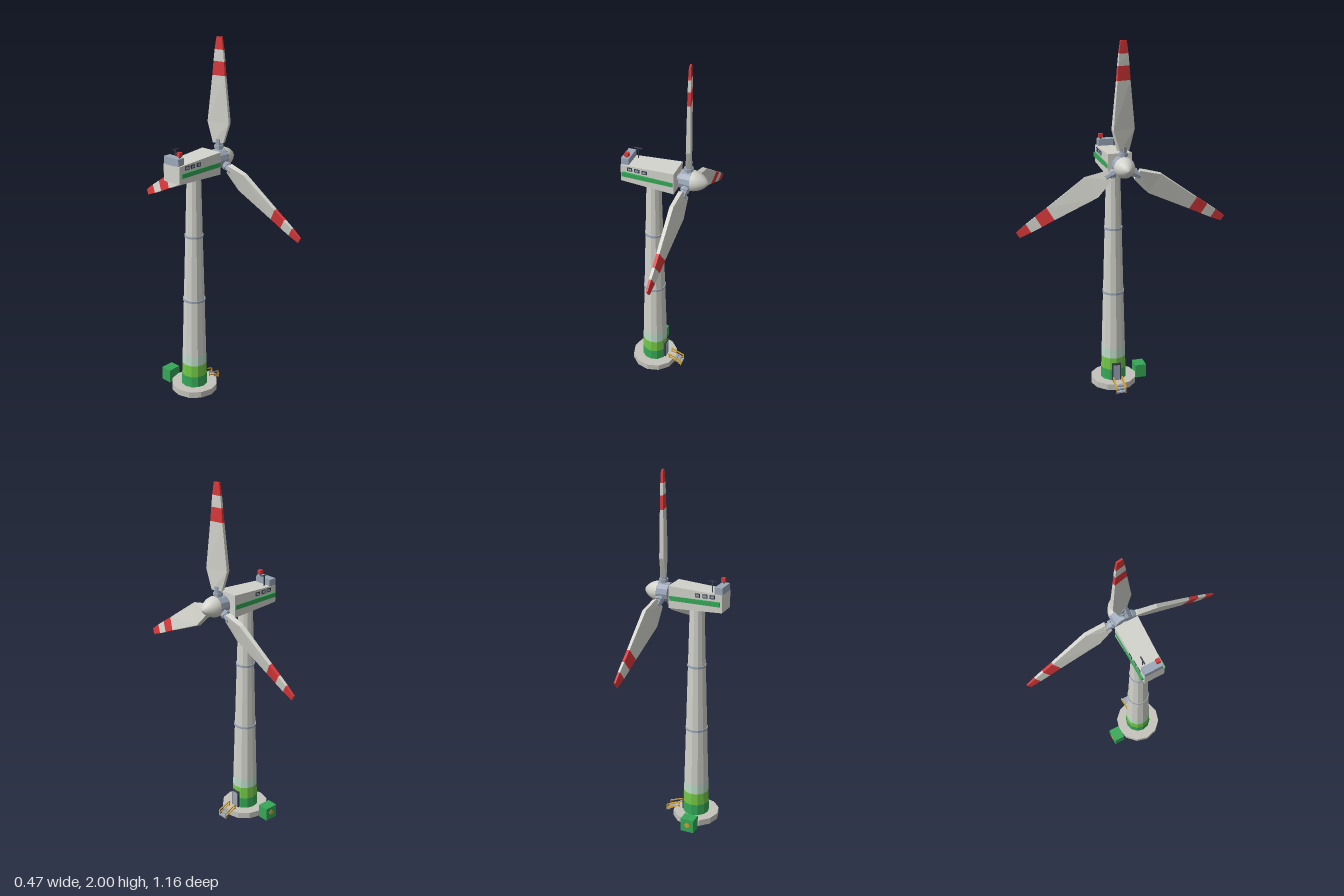
import * as THREE from 'three';

const mat = (name, color, extra = {}) => {
  const m = new THREE.MeshStandardMaterial({ color, ...extra });
  m.name = name;
  return m;
};

export function createModel() {
  const flat = { flatShading: true };
  const body = mat('body grey', 0xd3d3cc, flat);
  const smoothBody = body.clone();
  smoothBody.flatShading = false;
  const concrete = mat('concrete', 0xc4c3bb, flat);
  const steel = mat('steel blue grey', 0x9ca8b8, flat);
  const green = mat('green', 0x35a857, flat);
  const lime = mat('lime green', 0x74c947, flat);
  const mint = mat('pale mint', 0xbcdcc8, flat);
  const red = mat('signal red', 0xd9383a, flat);
  const dark = mat('dark', 0x3b414f, flat);
  const yellow = mat('rail yellow', 0xd6a02c, flat);

  const model = new THREE.Group();
  const add = (parent, name, geo, material, x = 0, y = 0, z = 0) => {
    const m = new THREE.Mesh(geo, material);
    m.name = name;
    m.position.set(x, y, z);
    parent.add(m);
    return m;
  };
  const box = (parent, name, material, w, h, d, x, y, z) =>
    add(parent, name, new THREE.BoxGeometry(w, h, d), material, x, y, z);
  const cyl = (parent, name, material, rTop, rBottom, h, x, y, z, sides = 12) =>
    add(parent, name, new THREE.CylinderGeometry(rTop, rBottom, h, sides), material, x, y, z);
  // thin square bar between two points
  const bar = (parent, name, material, a, b, t) => {
    const p = new THREE.Vector3(...a), q = new THREE.Vector3(...b);
    const m = box(parent, name, material, t, p.distanceTo(q), t, 0, 0, 0);
    m.position.copy(p).lerp(q, 0.5);
    m.quaternion.setFromUnitVectors(new THREE.Vector3(0, 1, 0), q.sub(p).normalize());
    return m;
  };
  // box whose corners are moved by a rule
  const shapedBox = (rule) => {
    const g = new THREE.BoxGeometry(1, 1, 1);
    const p = g.attributes.position;
    for (let i = 0; i < p.count; i++) {
      p.setXYZ(i, ...rule(p.getX(i) * 2, p.getY(i) * 2, p.getZ(i) * 2));
    }
    g.computeVertexNormals();
    return g;
  };

  // foundation and banded tower
  const TX = -0.072;
  cyl(model, 'foundation', concrete, 0.132, 0.132, 0.036, TX, 0.018, 0);
  const towerRadius = (y) => 0.075 - 0.035 * (y - 0.036) / 1.25;
  [
    ['towerBandGreen', green, 0.036, 0.1], ['towerBandLime', lime, 0.1, 0.17],
    ['towerBandMint', mint, 0.17, 0.23], ['tower', body, 0.23, 1.29],
  ].forEach(([name, m, y0, y1]) =>
    cyl(model, name, m, towerRadius(y1), towerRadius(y0), y1 - y0, TX, (y0 + y1) / 2, 0));
  for (const y of [0.565, 0.945]) {
    cyl(model, 'towerRing', steel, towerRadius(y) + 0.004, towerRadius(y) + 0.004, 0.012, TX, y, 0);
  }

  // door and entrance steps
  const entrance = new THREE.Group();
  entrance.name = 'entrance';
  model.add(entrance);
  box(entrance, 'doorFrame', dark, 0.02, 0.105, 0.052, -0.006, 0.0885, 0);
  box(entrance, 'door', steel, 0.006, 0.093, 0.038, 0.003, 0.0825, 0);
  for (let i = 0; i < 3; i++) {
    box(entrance, 'step', steel, 0.02, 0.008, 0.048, 0.062 + i * 0.017, 0.03 - i * 0.011, 0);
  }
  for (const z of [-0.026, 0.026]) {
    bar(entrance, 'handrail', yellow, [0.024, 0.066, z], [0.104, 0.036, z], 0.006);
    bar(entrance, 'lowerRail', yellow, [0.03, 0.045, z], [0.104, 0.016, z], 0.005);
    bar(entrance, 'railPost', yellow, [0.027, 0.036, z], [0.027, 0.066, z], 0.005);
    bar(entrance, 'railPost', yellow, [0.103, 0, z], [0.103, 0.038, z], 0.005);
  }

  // transformer cabinet with warning diamond
  box(model, 'transformerCabinet', green, 0.078, 0.078, 0.064, -0.101, 0.039, -0.166);
  box(model, 'warningPlate', yellow, 0.026, 0.026, 0.004, -0.101, 0.042, -0.199).rotation.z = Math.PI / 4;

  // nacelle, slimmer towards the rear
  const nacelle = new THREE.Group();
  nacelle.name = 'nacelle';
  model.add(nacelle);
  add(nacelle, 'nacelleBody', shapedBox((x, y, z) => {
    const front = x > 0;
    const top = front ? 1.4 : 1.382, bottom = front ? 1.275 : 1.285;
    return [front ? 0.066 : -0.238, y > 0 ? top : bottom, z * (front ? 0.067 : 0.058)];
  }), body);
  const sideZ = (x) => 0.058 + 0.009 * (x + 0.238) / 0.304;
  for (const s of [-1, 1]) {
    box(nacelle, 'sideStripe', green, 0.288, 0.025, 0.014, -0.084, 1.332, s * 0.063);
    for (const x of [-0.184, -0.143, -0.1]) {
      box(nacelle, 'windowFrame', dark, 0.028, 0.021, 0.006, x, 1.367, s * sideZ(x));
      box(nacelle, 'windowPane', steel, 0.018, 0.011, 0.006, x, 1.367, s * (sideZ(x) + 0.001));
    }
  }
  box(nacelle, 'cooler', steel, 0.043, 0.042, 0.106, -0.2165, 1.4, -0.003);
  box(nacelle, 'lampPost', dark, 0.008, 0.014, 0.008, -0.21, 1.425, 0.033);
  box(nacelle, 'warningLamp', red, 0.022, 0.022, 0.022, -0.21, 1.44, 0.033);
  box(nacelle, 'antennaMast', dark, 0.005, 0.066, 0.005, -0.174, 1.415, -0.035);
  box(nacelle, 'antennaBar', dark, 0.045, 0.004, 0.007, -0.174, 1.447, -0.035);

  // rotor, turning about the x axis
  const rotor = new THREE.Group();
  rotor.name = 'rotor';
  rotor.position.set(0.125, 1.342, 0);
  model.add(rotor);
  cyl(rotor, 'shaft', steel, 0.022, 0.022, 0.04, -0.05, 0, 0).rotation.z = -Math.PI / 2;
  cyl(rotor, 'hub', steel, 0.057, 0.052, 0.062, -0.009, 0, 0).rotation.z = -Math.PI / 2;
  const nose = [[0.057, 0.022], [0.056, 0.036], [0.051, 0.054], [0.041, 0.074], [0.026, 0.094], [0.011, 0.106], [0, 0.11]]
    .map(([r, y]) => new THREE.Vector2(r, y));
  add(rotor, 'spinner', new THREE.LatheGeometry(nose, 16), smoothBody).rotation.z = -Math.PI / 2;

  // blade sections: radius, half chord, half thickness, pitch
  const sections = [
    [0.088, 0.03, 0.014, 0.36], [0.2, 0.064, 0.012, 0.27], [0.455, 0.038, 0.009, 0.22],
    [0.53, 0.032, 0.008, 0.2], [0.592, 0.026, 0.007, 0.18], [0.658, 0.017, 0.005, 0.16],
  ];
  const bladeColors = [body, body, red, body, red];
  for (let k = 0; k < 3; k++) {
    const blade = new THREE.Group();
    blade.name = 'blade';
    blade.rotation.x = k * Math.PI * 2 / 3;
    rotor.add(blade);
    cyl(blade, 'bladeRoot', steel, 0.02, 0.02, 0.07, 0, 0.075, 0, 8);
    cyl(blade, 'bladeCollar', steel, 0.026, 0.026, 0.016, 0, 0.066, 0, 8);
    bladeColors.forEach((m, i) => {
      add(blade, m === red ? 'bladeRedBand' : 'bladePanel', shapedBox((x, y, z) => {
        const [r, c, t, p] = sections[y > 0 ? i + 1 : i];
        const u = z * c, w = x * t;
        return [w * Math.cos(p) + u * Math.sin(p), r, u * Math.cos(p) - w * Math.sin(p)];
      }), m);
    });
  }
  return model;
}
